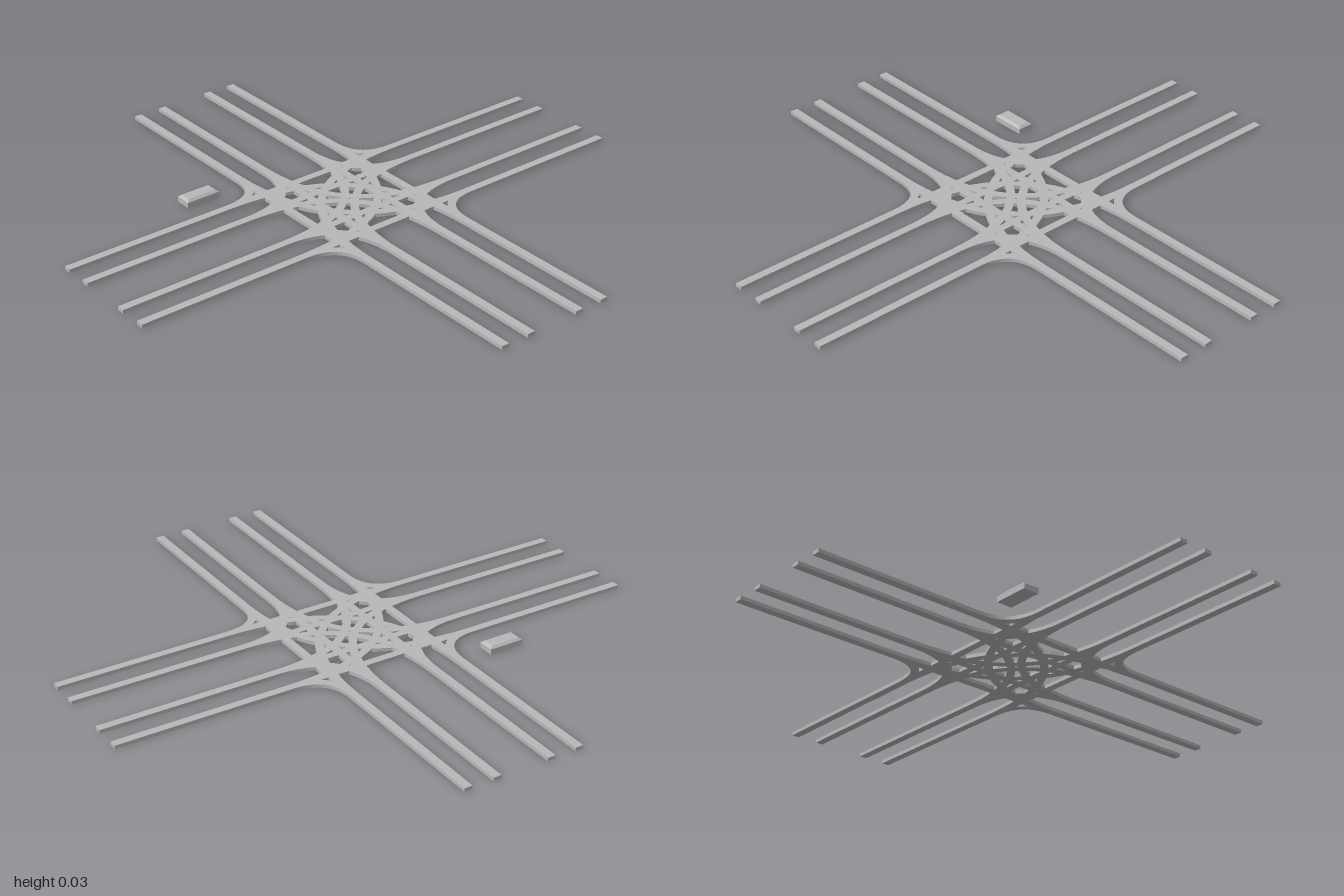
import * as THREE from 'three';

const OUTER = 0.21, INNER = 0.103;   // lane offsets from the centre of the crossing
const STOP = 0.36;                   // where turning lanes leave the straight ones
const HALF = 0.0145, THICK = 0.013;  // lane half width and thickness
const CX = -0.002, CZ = -0.005;      // middle of the crossing

// Flat curved ribbon following a quadratic curve in plan
function ribbon(ax, az, bx, bz, cx, cz) {
  const curve = new THREE.QuadraticBezierCurve(
    new THREE.Vector2(ax, -az), new THREE.Vector2(bx, -bz), new THREE.Vector2(cx, -cz));
  const left = [], right = [];
  for (let i = 0; i <= 20; i++) {
    const p = curve.getPoint(i / 20), t = curve.getTangent(i / 20);
    left.push(new THREE.Vector2(p.x - t.y * HALF, p.y + t.x * HALF));
    right.unshift(new THREE.Vector2(p.x + t.y * HALF, p.y - t.x * HALF));
  }
  const geo = new THREE.ExtrudeGeometry(new THREE.Shape([...left, ...right]),
    { depth: THICK, bevelEnabled: false });
  return geo.rotateX(-Math.PI / 2);
}

export function createModel() {
  const model = new THREE.Group();
  model.name = 'roadCrossing';
  const grey = new THREE.MeshStandardMaterial({ color: 0xb8b8b8 });
  grey.name = 'roadGrey';

  function add(parent, name, geometry) {
    const mesh = new THREE.Mesh(geometry, grey);
    mesh.name = name;
    parent.add(mesh);
    return mesh;
  }

  // Straight lanes in both directions
  for (const d of [-OUTER, -INNER, INNER, OUTER]) {
    add(model, 'straightLaneNorthSouth', new THREE.BoxGeometry(HALF * 2, THICK, 2))
      .position.set(CX + d, THICK / 2, 0);
    add(model, 'straightLaneEastWest', new THREE.BoxGeometry(2, THICK, HALF * 2))
      .position.set(0, THICK / 2, CZ + d);
  }

  // Turning lanes, repeated for the four arms
  const turns = new THREE.Group();
  turns.name = 'turningLanes';
  turns.position.set(CX, 0, CZ);
  model.add(turns);
  for (const d of [OUTER, INNER]) {
    const shortTurn = ribbon(-d, -STOP, -d, -d, -STOP, -d);
    const longTurn = ribbon(-d, -STOP, -d, d, STOP, d);
    for (let k = 0; k < 4; k++) {
      add(turns, 'shortTurnLane', shortTurn).rotation.y = k * Math.PI / 2;
      add(turns, 'longTurnLane', longTurn).rotation.y = k * Math.PI / 2;
    }
  }

  // Small block beside the crossing, tapered towards the top
  const block = new THREE.BoxGeometry(0.13, 0.028, 0.06, 1, 2, 1);
  const pos = block.attributes.position;
  for (let i = 0; i < pos.count; i++) {
    const y = pos.getY(i);
    if (y > 0.01) {
      pos.setX(i, pos.getX(i) * 0.84);
      pos.setZ(i, pos.getZ(i) * 0.7);
    } else if (y > -0.01) {
      pos.setY(i, 0.006);
    }
  }
  const flatBlock = block.toNonIndexed();
  flatBlock.computeVertexNormals();
  add(model, 'roadsideBlock', flatBlock).position.set(-0.395, 0.014, -0.345);

  return model;
}
